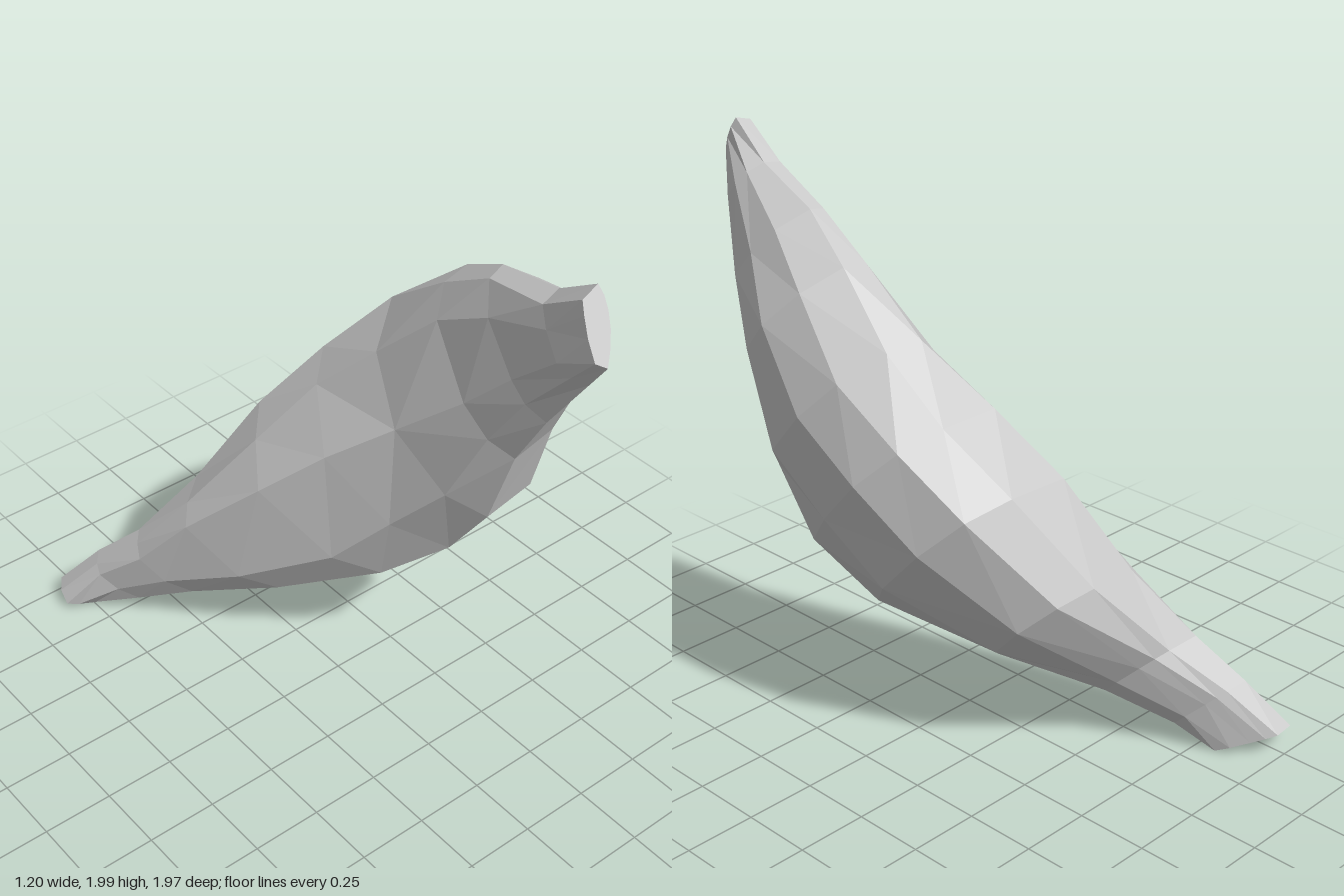
import * as THREE from 'three';

const SIDES = 10;

// Each ring: [s, tilt, then ten x,t pairs]. s runs along the fruit (up and forward),
// t runs across it (up and backward); tilt leans the ring.
// Ring order: inner ridge, inner back, two back corners, three outer corners,
// two front corners, inner front.
const tipRings = [
  [1.83, 0.3, 0.14, -0.05, 0.15, 0.04, 0.16, 0.1, 0.23, 0.13, 0.24, 0.08, 0.24, 0.02, 0.23, -0.05, 0.21, -0.12, 0.18, -0.19, 0.14, -0.15],
  [1.58, 0, 0.13, -0.08, 0.15, 0.06, 0.18, 0.16, 0.26, 0.19, 0.31, 0.13, 0.33, 0.05, 0.32, -0.06, 0.25, -0.19, 0.2, -0.22, 0.15, -0.16],
];
const bodyRings = [
  [1.2, 0, 0.155, -0.06, 0.18, 0.22, 0.25, 0.37, 0.32, 0.4, 0.42, 0.28, 0.45, 0.1, 0.44, -0.1, 0.31, -0.26, 0.2, -0.29, 0.16, -0.18],
  [0.85, 0, 0.13, -0.06, 0.18, 0.32, 0.27, 0.46, 0.38, 0.49, 0.5, 0.34, 0.56, 0.1, 0.53, -0.14, 0.39, -0.34, 0.21, -0.38, 0.15, -0.25],
  [0.4, 0, 0.06, -0.03, 0.13, 0.33, 0.28, 0.53, 0.42, 0.51, 0.55, 0.33, 0.6, 0.06, 0.56, -0.3, 0.44, -0.54, 0.23, -0.58, 0.12, -0.4],
  [0, 0, -0.06, 0, 0.04, 0.33, 0.13, 0.48, 0.36, 0.48, 0.5, 0.36, 0.57, 0.1, 0.53, -0.28, 0.44, -0.6, 0.22, -0.65, 0.05, -0.42],
  [-0.4, 0, -0.19, 0, -0.11, 0.23, -0.03, 0.39, 0.24, 0.44, 0.41, 0.36, 0.48, 0.08, 0.45, -0.31, 0.35, -0.57, 0.1, -0.63, -0.05, -0.45],
  [-0.9, 0, -0.33, 0, -0.28, 0.11, -0.2, 0.21, 0.04, 0.29, 0.18, 0.23, 0.25, 0.02, 0.2, -0.27, 0.08, -0.46, -0.11, -0.48, -0.23, -0.34],
];
const stemRings = [
  [-1.3, 0, -0.42, -0.04, -0.4, 0.04, -0.37, 0.1, -0.23, 0.1, -0.18, 0.06, -0.15, -0.02, -0.12, -0.16, -0.14, -0.29, -0.29, -0.31, -0.37, -0.2],
  [-1.6, 0, -0.5, -0.02, -0.49, 0.04, -0.46, 0.1, -0.36, 0.1, -0.33, 0.06, -0.31, 0, -0.28, -0.12, -0.29, -0.22, -0.4, -0.22, -0.46, -0.13],
  [-1.87, -0.35, -0.6, -0.08, -0.59, 0, -0.56, 0.06, -0.47, 0.08, -0.44, 0.04, -0.41, -0.02, -0.37, -0.1, -0.35, -0.17, -0.5, -0.14, -0.56, -0.11],
];

// Place one ring in space
function ringPoints([s, tilt, ...pairs]) {
  return Array.from({ length: SIDES }, (_, j) => {
    const x = pairs[2 * j], t = pairs[2 * j + 1], along = s + tilt * t;
    return new THREE.Vector3(x, 1 + (along + t) / 2, (along - t) / 2);
  });
}

// Faceted skin through the rings, with optional end caps
function loft(rings, capTop, capBottom) {
  const loops = rings.map(ringPoints);
  const corners = [];
  for (let i = 0; i < loops.length - 1; i++) {
    for (let j = 0; j < SIDES; j++) {
      const k = (j + 1) % SIDES;
      const a = loops[i][j], b = loops[i][k], c = loops[i + 1][j], d = loops[i + 1][k];
      // Split each quad along its shorter diagonal
      if (b.distanceTo(c) < a.distanceTo(d)) corners.push(a, b, c, b, d, c);
      else corners.push(a, b, d, a, d, c);
    }
  }
  const cap = (loop, flip) => {
    const centre = loop.reduce((sum, p) => sum.add(p), new THREE.Vector3()).divideScalar(SIDES);
    loop.forEach((p, j) => {
      const q = loop[(j + 1) % SIDES];
      corners.push(centre, flip ? q : p, flip ? p : q);
    });
  };
  if (capTop) cap(loops[0], true);
  if (capBottom) cap(loops[loops.length - 1], false);
  const geometry = new THREE.BufferGeometry().setFromPoints(corners);
  geometry.computeVertexNormals();
  return geometry;
}

export function createModel() {
  const model = new THREE.Group();
  model.name = 'curvedFruit';
  const skin = new THREE.MeshStandardMaterial({ color: 0xcccccc, flatShading: true });
  skin.name = 'paleGreySkin';

  const addPart = (name, geometry) => {
    const mesh = new THREE.Mesh(geometry, skin);
    mesh.name = name;
    model.add(mesh);
  };

  // Neighbouring parts share their joining ring
  addPart('blossomTip', loft([...tipRings, bodyRings[0]], true, false));
  addPart('fruitBody', loft([...bodyRings, stemRings[0]], false, false));
  addPart('stem', loft(stemRings, false, true));
  return model;
}
